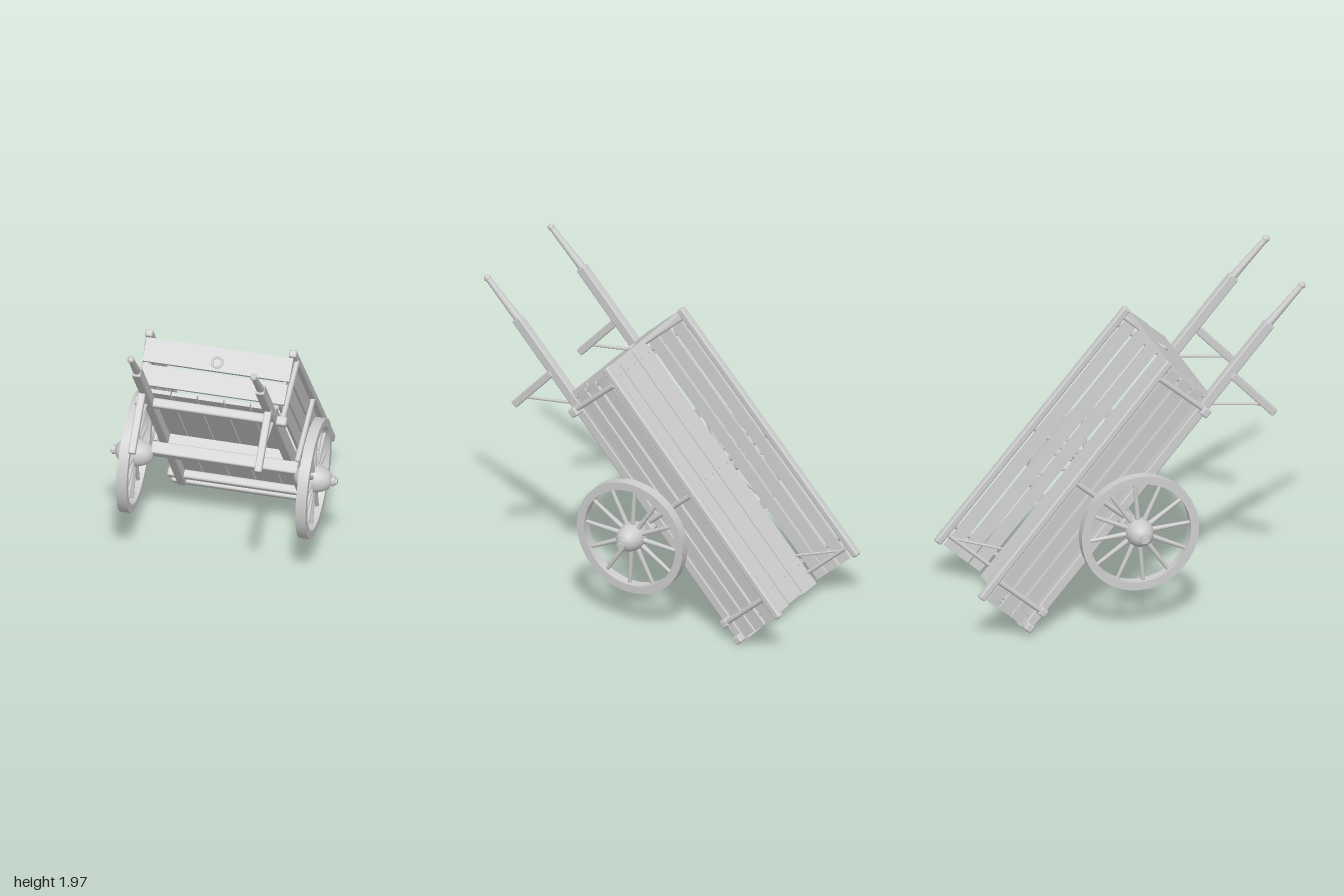
import * as THREE from 'three';
import { RoundedBoxGeometry } from 'three/addons/geometries/RoundedBoxGeometry.js';

export function createModel() {
  const root = new THREE.Group();
  root.name = 'handcart';
  const wood = new THREE.MeshStandardMaterial({ color: 0xcccccc });
  wood.name = 'pale grey wood';

  // Cart frame: x across, y up from the bed, z along towards the handles.
  const cart = new THREE.Group();
  cart.name = 'cart';
  cart.rotation.x = -THREE.MathUtils.degToRad(49.1);
  cart.position.y = 0.013 - 0.625;
  // Slight sideways lean around the axle height
  const lean = new THREE.Group();
  lean.name = 'leaningCart';
  lean.position.y = 0.62;
  lean.rotation.z = -0.03;
  lean.add(cart);
  root.add(lean);

  const add = (name, geometry, x, y, z, parent = cart) => {
    const mesh = new THREE.Mesh(geometry, wood);
    mesh.name = name;
    mesh.position.set(x, y, z);
    parent.add(mesh);
    return mesh;
  };
  // Box given by its y and z limits
  const block = (name, x, w, y0, y1, z0, z1, round = 0) => {
    const size = [w, y1 - y0, z1 - z0];
    const g = round ? new RoundedBoxGeometry(...size, 2, round) : new THREE.BoxGeometry(...size);
    return add(name, g, x, (y0 + y1) / 2, (z0 + z1) / 2);
  };
  // Round bar between two points
  const rod = (name, a, b, r0, r1 = r0, sides = 10, parent = cart) => {
    const p = new THREE.Vector3(...a), q = new THREE.Vector3(...b);
    const d = q.clone().sub(p);
    const mid = p.clone().add(q).multiplyScalar(0.5);
    const m = add(name, new THREE.CylinderGeometry(r1, r0, d.length(), sides), mid.x, mid.y, mid.z, parent);
    m.quaternion.setFromUnitVectors(new THREE.Vector3(0, 1, 0), d.normalize());
    return m;
  };

  // Bed planks and their nails
  for (let i = 0; i < 5; i++) {
    const x = (i - 2) * 0.155;
    block('bedPlank', x, 0.147, 0.582, 0.605, -0.44 + (i % 2) * 0.006, 1.28);
    for (const z of [-0.295, 0.425, 1.2])
      for (const dx of [-0.04, 0.04])
        add('nail', new THREE.CylinderGeometry(0.006, 0.006, 0.006, 8), x + dx, 0.607, z);
  }

  // Cross bars under the bed, and the axle beam
  block('frontCrossBar', 0, 0.89, 0.52, 0.575, 1.165, 1.22, 0.012);
  block('rearCrossBar', 0, 0.87, 0.528, 0.578, -0.32, -0.27, 0.012);
  block('tailCrossBar', 0, 0.85, 0.53, 0.58, -0.44, -0.39, 0.012);
  block('axleBeam', 0, 0.86, 0.45, 0.525, 0.38, 0.46, 0.01);
  block('bedBatten', 0, 0.76, 0.525, 0.58, 0.395, 0.45);

  // Front boards with a pull ring
  block('lowerFrontBoard', 0, 0.85, 0.62, 0.742, 1.275, 1.297);
  block('upperFrontBoard', 0, 0.86, 0.758, 0.9, 1.275, 1.3);
  add('pullRing', new THREE.TorusGeometry(0.03, 0.007, 8, 24), 0, 0.81, 1.304);

  for (const s of [1, -1]) {
    // Shaft, tapering handle and rounded grip end
    block('shaft', s * 0.362, 0.052, 0.52, 0.583, -0.43, 1.82, 0.01);
    rod('handle', [s * 0.362, 0.555, 1.8], [s * 0.36, 0.541, 2.1], 0.024, 0.017, 12);
    add('handleEnd', new THREE.SphereGeometry(0.021, 12, 8), s * 0.36, 0.54, 2.105);

    // Prop leg with its brace
    const leg = block('propLeg', s * 0.37, 0.042, 0.17, 0.54, 1.409, 1.453, 0.008);
    leg.rotation.x = 0.1;
    rod('legBrace', [s * 0.37, 0.28, 1.405], [s * 0.37, 0.53, 1.24], 0.009);

    // Side planks, leaning slightly outwards
    [[0.618, 0.695], [0.71, 0.792], [0.812, 0.89]].forEach(([y0, y1], i) => {
      const p = block('sidePlank', s * (0.4 + i * 0.008), 0.018, y0, y1, -0.425, 1.285);
      p.rotation.z = -s * 0.09;
      p.rotation.y = -s * 0.006;
    });
    // Top rail, a little wider apart at the tail
    const rail = block('topRail', s * 0.43, 0.045, 0.905, 0.95, -0.437, 1.308, 0.012);
    rail.rotation.y = -s * 0.01;

    // Outer stakes
    for (const z of [-0.295, 0.43, 1.2])
      rod('sideStake', [s * 0.415, 0.53, z], [s * 0.437, 0.915, z], 0.016);
    // Inner corner posts
    for (const z of [-0.36, 1.255])
      rod('cornerPost', [s * 0.38, 0.6, z], [s * 0.412, 0.91, z], 0.013);
    rod('tailBrace', [s * 0.375, 0.605, -0.24], [s * 0.405, 0.88, -0.36], 0.007);

    // Wheel turning about x
    const wheel = new THREE.Group();
    wheel.name = s > 0 ? 'leftWheel' : 'rightWheel';
    wheel.position.set(s * 0.525, 0.45, 0.42);
    wheel.rotation.z = -s * Math.PI / 2;
    cart.add(wheel);
    const rim = [[0.302, -0.03], [0.35, -0.03], [0.35, 0.03], [0.302, 0.03], [0.302, -0.03]];
    // Each rim face is its own lathe so the edges stay sharp
    for (let i = 0; i < 4; i++)
      add('rim', new THREE.LatheGeometry([rim[i], rim[i + 1]].map(p => new THREE.Vector2(...p)), 48), 0, 0, 0, wheel);
    for (let i = 0; i < 12; i++) {
      const a = (i + 0.5) * Math.PI / 6, c = Math.cos(a), n = Math.sin(a);
      rod('spoke', [c * 0.06, 0, n * 0.06], [c * 0.31, 0, n * 0.31], 0.016, 0.011, 8, wheel);
    }
    // Barrel hub, collar and axle nut
    const hub = [];
    for (let i = 0; i <= 12; i++) {
      const t = -1 + i / 6;
      hub.push(new THREE.Vector2(0.082 * Math.sqrt(Math.max(0, 1 - 0.9 * t * t)), t * 0.11));
    }
    hub.unshift(new THREE.Vector2(0, -0.11));
    hub.push(new THREE.Vector2(0, 0.11));
    add('hub', new THREE.LatheGeometry(hub, 28), 0, 0, 0, wheel);
    add('axleNut', new THREE.CylinderGeometry(0.03, 0.03, 0.02, 6), 0, 0.118, 0, wheel);
    add('axleEnd', new THREE.CylinderGeometry(0.018, 0.018, 0.03, 12), 0, 0.125, 0, wheel);
  }
  return root;
}
